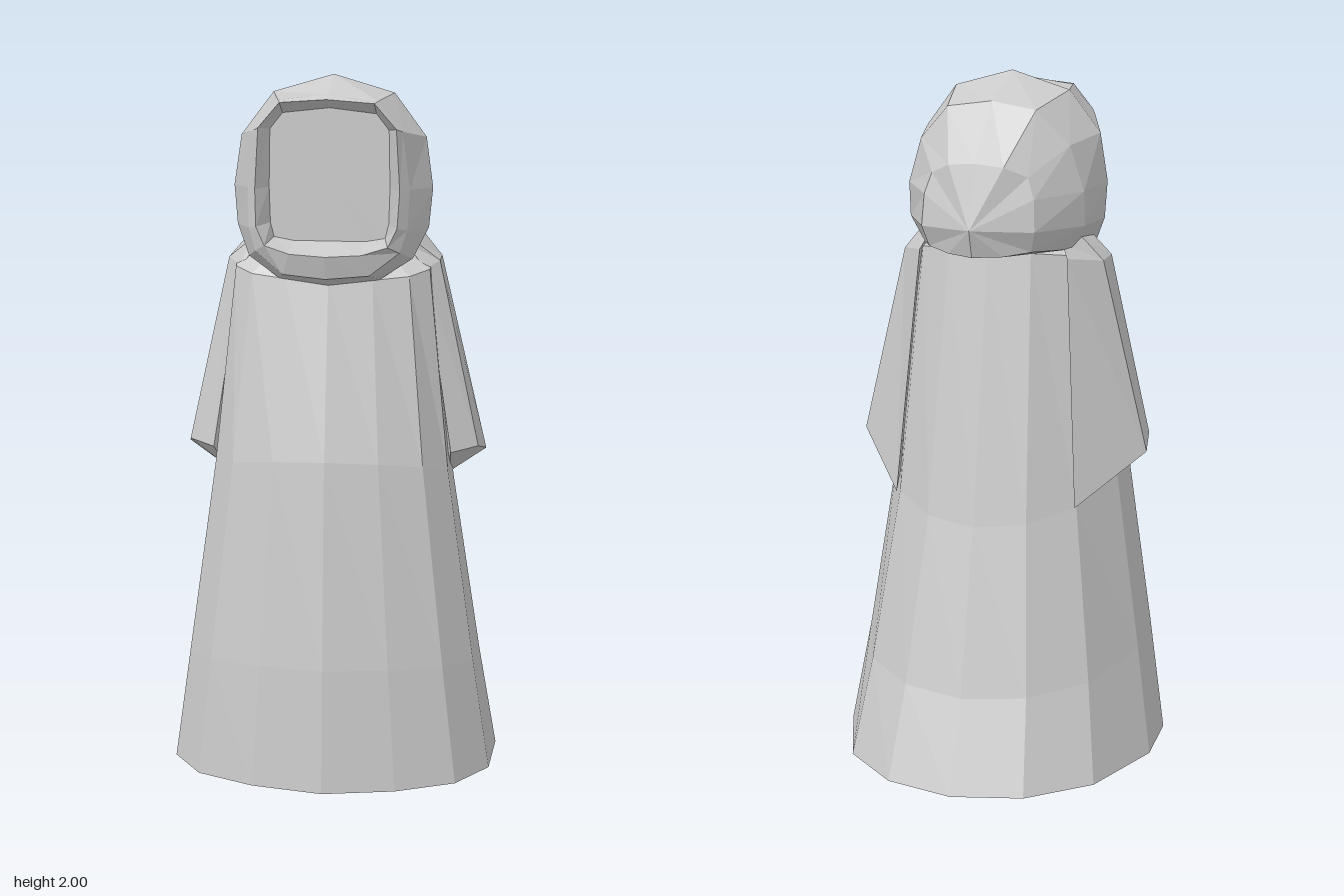
import * as THREE from 'three';

const material = new THREE.MeshStandardMaterial({
  color: 0xcccccc, flatShading: true, side: THREE.DoubleSide,
});

// Skin a list of closed loops (arrays of [x, y, z]), skipping collapsed corners.
function loft(name, rings) {
  const pos = [];
  const same = (p, q) => p.every((v, k) => Math.abs(v - q[k]) < 1e-6);
  const tri = (a, b, c) => {
    if (!same(a, b) && !same(b, c) && !same(c, a)) pos.push(...a, ...b, ...c);
  };
  for (let i = 0; i < rings.length - 1; i++) {
    const n = rings[i].length;
    for (let j = 0; j < n; j++) {
      const k = (j + 1) % n;
      const a = rings[i][j], b = rings[i][k], c = rings[i + 1][k], d = rings[i + 1][j];
      tri(a, d, c);
      tri(a, c, b);
    }
  }
  const geo = new THREE.BufferGeometry();
  geo.setAttribute('position', new THREE.Float32BufferAttribute(pos, 3));
  geo.computeVertexNormals();
  const mesh = new THREE.Mesh(geo, material);
  mesh.name = name;
  return mesh;
}

// Complete a half loop (x >= 0, both ends on the centre line) by mirroring it.
const mirrorLoop = (half) =>
  [...half, ...half.slice(1, -1).reverse().map(([x, y, z]) => [-x, y, z])];

const point = (p, n) => Array(n).fill(p);

// Robe: one 14-sided outline, scaled and tilted at each level; open at the hem.
function makeRobe() {
  const outline = [[0, -1], [0.435, -0.89], [0.79, -0.57], [1, 0],
    [0.98, 0.45], [0.79, 0.74], [0.435, 0.91], [0, 1]];
  // half width, front z, back z, front y, back y
  const levels = [
    [0.47, 0.47, -0.475, 0, 0],
    [0.42, 0.45, -0.37, 0.36, 0.26],
    [0.34, 0.39, -0.25, 0.95, 0.74],
    [0.28, 0.28, -0.11, 1.44, 1.52],
    [0.18, 0.2, -0.02, 1.52, 1.56],
  ];
  return loft('robe', levels.map(([w, zf, zb, yf, yb]) =>
    mirrorLoop(outline.map(([u, v]) => {
      const t = (v + 1) / 2;
      return [u * w, yb + (yf - yb) * t, zb + (zf - zb) * t];
    }))));
}

// Sleeve: four-cornered wedge from shoulder to a slanted cuff.
function makeSleeve(side) {
  const rings = [
    point([0.15, 1.55, 0.07], 4),
    [[0.21, 1.53, 0.16], [0.24, 1.53, 0.15], [0.24, 1.55, 0.02], [0.2, 1.54, -0.04]],
    [[0.26, 1.46, 0.17], [0.3, 1.48, 0.13], [0.3, 1.48, 0.04], [0.22, 1.5, -0.06]],
    [[0.34, 0.94, 0.2], [0.415, 0.95, 0.15], [0.433, 0.92, 0.05], [0.27, 0.79, -0.14]],
    point([0.33, 0.85, 0.06], 4),
  ].map((ring) => ring.map(([x, y, z]) => [x * side, y, z]));
  return loft(side > 0 ? 'leftSleeve' : 'rightSleeve', side > 0 ? rings : rings.reverse());
}

// Hood: half loops from back to front, each running from crown to chin.
function makeHood() {
  const halves = [
    [[0, 1.79, -0.23], [0.08, 1.78, -0.215], [0.14, 1.75, -0.18], [0.16, 1.69, -0.19],
      [0.165, 1.6, -0.2], [0.15, 1.54, -0.18], [0.08, 1.53, -0.22], [0, 1.53, -0.255]],
    [[0, 1.94, -0.07], [0.13, 1.92, -0.07], [0.22, 1.82, -0.04], [0.26, 1.69, -0.03],
      [0.26, 1.59, -0.02], [0.22, 1.52, -0.02], [0.12, 1.51, -0.05], [0, 1.51, -0.08]],
    [[0, 2, 0.13], [0.17, 1.95, 0.13], [0.26, 1.83, 0.14], [0.28, 1.69, 0.15],
      [0.27, 1.58, 0.16], [0.23, 1.5, 0.22], [0.14, 1.445, 0.26], [0, 1.43, 0.28]],
    [[0, 1.96, 0.28], [0.138, 1.943, 0.28], [0.205, 1.86, 0.28], [0.225, 1.7, 0.27],
      [0.22, 1.59, 0.29], [0.2, 1.53, 0.31], [0.12, 1.47, 0.34], [0, 1.46, 0.35]],
    [[0, 1.95, 0.32], [0.13, 1.94, 0.315], [0.19, 1.87, 0.31], [0.2, 1.7, 0.31],
      [0.195, 1.6, 0.33], [0.17, 1.55, 0.345], [0.1, 1.53, 0.36], [0, 1.525, 0.37]],
  ];
  const rings = halves.map(mirrorLoop);
  // back tip
  rings.unshift(point([0, 1.61, -0.28], rings[0].length));
  // recessed lining behind the rim
  const lining = mirrorLoop(faceOutline);
  rings.push(lining.map(([x, y]) => [x, y, 0.25]));
  return loft('hood', rings);
}

const faceOutline = [[0, 1.92], [0.13, 1.905], [0.165, 1.86], [0.168, 1.7],
  [0.165, 1.6], [0.155, 1.56], [0.1, 1.55], [0, 1.55]].map(([x, y]) => [x, y, 0.25]);

// Flat blank face filling the hood opening.
function makeFace() {
  const loop = mirrorLoop(faceOutline);
  return loft('face', [loop, point([0, 1.73, 0.25], loop.length)]);
}

export function createModel() {
  const model = new THREE.Group();
  model.name = 'hoodedFigure';
  model.add(makeRobe(), makeSleeve(1), makeSleeve(-1), makeHood(), makeFace());
  return model;
}
